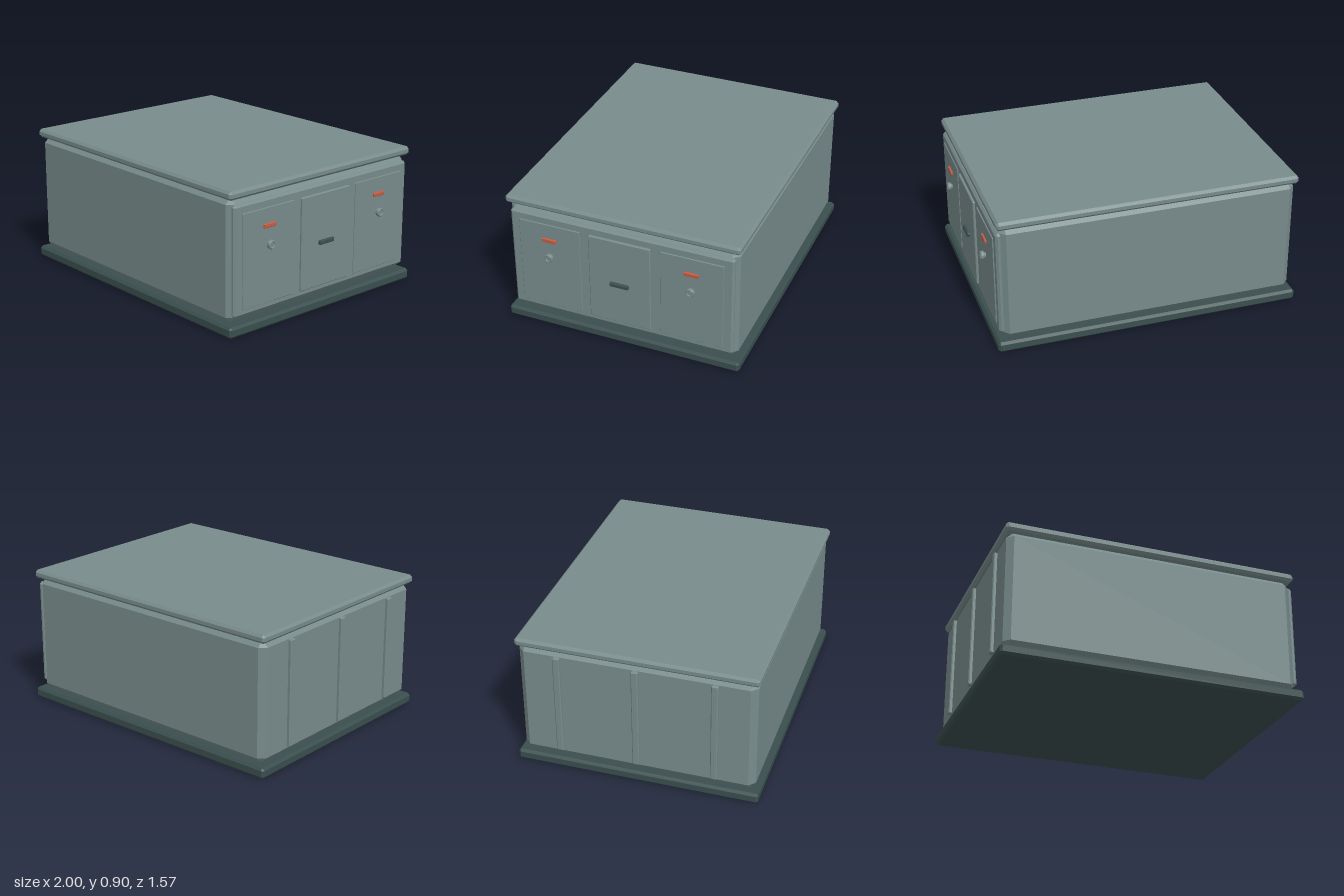
import * as THREE from 'three';
import { ConvexGeometry } from 'three/addons/geometries/ConvexGeometry.js';

const mat = (name, color) => {
  const m = new THREE.MeshStandardMaterial({ color });
  m.name = name;
  return m;
};

// Box between two corners with every edge cut at 45 degrees by c
function chamferBox([x0, y0, z0], [x1, y1, z1], c) {
  const h = [(x1 - x0) / 2, (y1 - y0) / 2, (z1 - z0) / 2];
  const points = [];
  for (const sx of [-1, 1]) for (const sy of [-1, 1]) for (const sz of [-1, 1]) {
    for (let full = 0; full < 3; full++) {
      const p = h.map((v, i) => (i === full ? v : v - c));
      points.push(new THREE.Vector3(p[0] * sx, p[1] * sy, p[2] * sz));
    }
  }
  return new ConvexGeometry(points).translate((x0 + x1) / 2, (y0 + y1) / 2, (z0 + z1) / 2);
}

export function createModel() {
  const model = new THREE.Group();
  model.name = 'cabinet';
  const grey = mat('grey green paint', 0x788b8b);
  const dark = mat('dark green paint', 0x3a4e4e);
  const orange = mat('orange label', 0xc65c42);

  const add = (name, geometry, material) => {
    const mesh = new THREE.Mesh(geometry, material);
    mesh.name = name;
    model.add(mesh);
    return mesh;
  };
  const block = (name, a, b, c, material) => add(name, chamferBox(a, b, c), material);

  // Plinth, body and lid
  block('base', [-1, 0, -0.785], [0.98, 0.07, 0.785], 0.015, dark);
  block('body', [-0.97, 0.07, -0.755], [0.94, 0.85, 0.755], 0.04, grey);
  block('lid', [-0.985, 0.845, -0.77], [0.96, 0.9, 0.77], 0.016, grey);

  // Raised panel with three doors on the right-hand end
  block('doorPanel', [0.92, 0.113, -0.737], [0.96, 0.81, 0.737], 0.014, grey);
  block('middleDoor', [0.95, 0.155, -0.205], [0.975, 0.755, 0.205], 0.005, grey);
  block('middleHandle', [0.97, 0.428, -0.062], [0.992, 0.455, 0.062], 0.004, dark);

  for (const s of [-1, 1]) {
    const z = s * 0.47;
    block('sideDoor', [0.95, 0.155, z - 0.205], [0.967, 0.755, z + 0.205], 0.003, grey);
    block('label', [0.965, 0.632, z - 0.048], [0.98, 0.658, z + 0.048], 0.003, orange);

    // Round knob with a bevelled rim and a shallow dished face
    const profile = [[0.018, 0], [0.018, 0.01], [0.028, 0.014], [0.028, 0.03],
      [0.024, 0.035], [0.019, 0.035], [0.016, 0.031], [0, 0.031]]
      .map(([r, y]) => new THREE.Vector2(r, y));
    const knob = new THREE.LatheGeometry(profile, 16).toNonIndexed();
    knob.computeVertexNormals();
    knob.rotateZ(-Math.PI / 2).translate(0.965, 0.527, z);
    add('knob', knob, grey);
  }

  // Upright ribs on the opposite end
  for (const z of [-0.5, 0, 0.5]) {
    block('rib', [-0.992, 0.12, z - 0.022], [-0.95, 0.81, z + 0.022], 0.006, grey);
  }

  return model;
}
